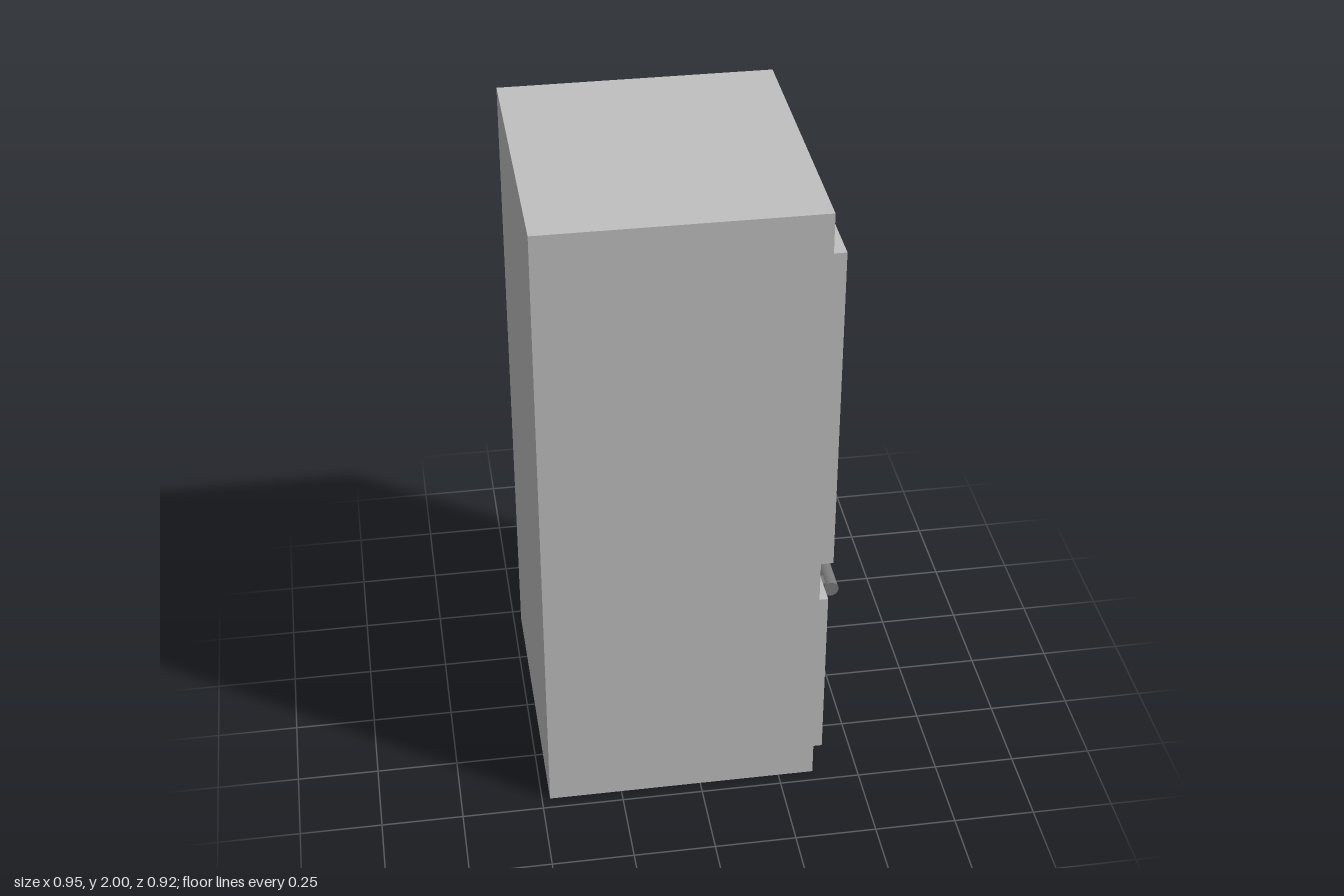
import * as THREE from 'three';

export function createModel() {
  const model = new THREE.Group();
  model.name = 'refrigerator';
  const steel = new THREE.MeshStandardMaterial({ color: 0xc0c0c0 });
  steel.name = 'light steel';
  const dark = new THREE.MeshStandardMaterial({ color: 0x7a7a7a });
  dark.name = 'dark handle metal';

  // Box given by its minimum and maximum corners
  function box(name, material, [x0, y0, z0], [x1, y1, z1], parent = model) {
    const mesh = new THREE.Mesh(new THREE.BoxGeometry(x1 - x0, y1 - y0, z1 - z0), material);
    mesh.position.set((x0 + x1) / 2, (y0 + y1) / 2, (z0 + z1) / 2);
    mesh.name = name;
    parent.add(mesh);
  }

  // Upright bar with two mounts reaching back toward the panel (local -x)
  function handle(name, length, reach, mountOffset, mountHalf) {
    const group = new THREE.Group();
    group.name = name;
    const bar = new THREE.Mesh(new THREE.CylinderGeometry(0.0245, 0.0245, length, 32), dark);
    bar.name = 'handleBar';
    group.add(bar);
    for (const s of [-1, 1]) {
      const y = s * mountOffset;
      box('handleMount', dark, [-reach, y - 0.02, -mountHalf], [0, y + 0.02, mountHalf], group);
    }
    model.add(group);
    return group;
  }

  // Cabinet
  box('cabinet', steel, [-0.475, 0, -0.46], [0.36, 2, 0.46]);

  // Pair of upper doors with upright handles
  for (const s of [-1, 1]) {
    const side = s > 0 ? 'front' : 'rear';
    const z = [s * 0.015, s * 0.397].sort((a, b) => a - b);
    box(side + 'Door', steel, [0.36, 0.77, z[0]], [0.413, 1.84, z[1]]);
    handle(side + 'DoorHandle', 0.684, 0.037, 0.307, 0.022).position.set(0.45, 1.337, s * 0.066);
  }

  // Lower drawer with a level handle
  box('drawer', steel, [0.36, 0.055, -0.404], [0.4, 0.64, 0.404]);
  const drawerHandle = handle('drawerHandle', 0.55, 0.038, 0.246, 0.019);
  drawerHandle.position.set(0.4375, 0.575, 0);
  drawerHandle.rotation.x = Math.PI / 2;

  return model;
}
